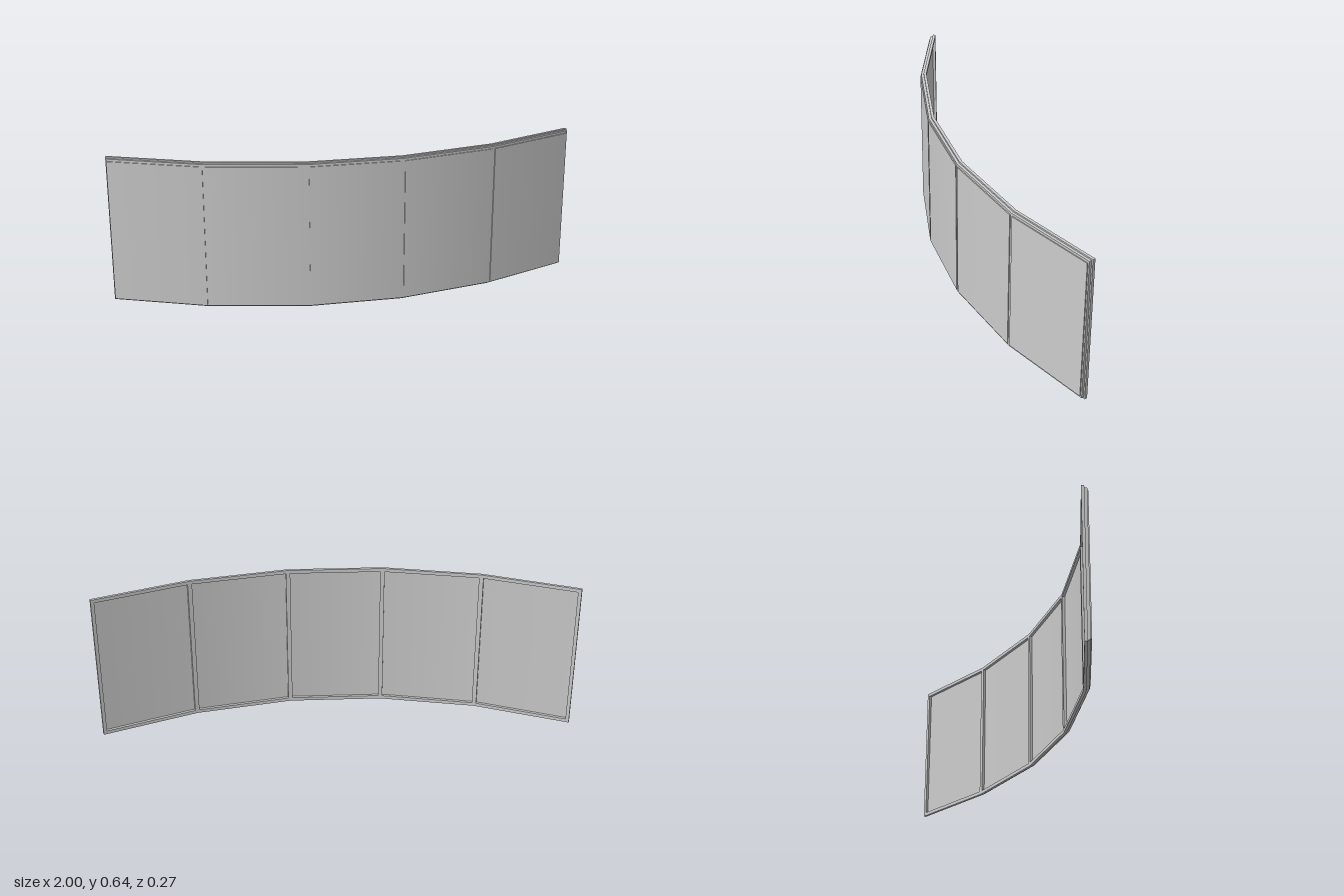
import * as THREE from 'three';

const H = 0.638;
// plan of the screen: x, z of the five-sided bend
const half = [[0.2, 0.12], [0.61, 0.036], [1, -0.122]];
const pts = [...half.map(([x, z]) => [-x, z]).reverse(), ...half].map(([x, z]) => new THREE.Vector2(x, z));

// outward normal of each side and mitre vector at each joint
const sides = pts.slice(1).map((p, i) => {
  const d = p.clone().sub(pts[i]).normalize();
  return new THREE.Vector2(-d.y, d.x);
});
const mitres = pts.map((p, i) => {
  const a = sides[Math.max(i - 1, 0)], b = sides[Math.min(i, sides.length - 1)];
  return a.clone().add(b).divideScalar(1 + a.dot(b));
});

const material = new THREE.MeshStandardMaterial({ color: 0xcccccc });

// slab on side i, from t0 to t1 along it, o0 to o1 in depth, y0 to y1 in height
function slab(name, i, [t0, t1], [o0, o1], [y0, y1]) {
  const geo = new THREE.BoxGeometry(1, 1, 1);
  const pos = geo.attributes.position;
  const mitreNormals = [];
  for (let k = 0; k < pos.count; k++) {
    const t = THREE.MathUtils.lerp(t0, t1, pos.getX(k) + 0.5);
    const o = THREE.MathUtils.lerp(o0, o1, pos.getZ(k) + 0.5);
    const y = THREE.MathUtils.lerp(y0, y1, pos.getY(k) + 0.5);
    const m = mitres[i].clone().lerp(mitres[i + 1], t);
    const p = pts[i].clone().lerp(pts[i + 1], t).addScaledVector(m, o);
    pos.setXYZ(k, p.x, y, p.y);
    mitreNormals.push(m.normalize());
  }
  geo.computeVertexNormals();
  // broad front and back faces shade smoothly round the bend
  for (let k = 16; k < 24; k++) {
    const s = k < 20 ? 1 : -1;
    geo.attributes.normal.setXYZ(k, s * mitreNormals[k].x, 0, s * mitreNormals[k].y);
  }
  const mesh = new THREE.Mesh(geo, material);
  mesh.name = name;
  return mesh;
}

export function createModel() {
  const model = new THREE.Group();
  model.name = 'curvedScreen';
  const last = sides.length - 1;
  const rail = 0.015, back = [-0.012, 0];

  for (let i = 0; i <= last; i++) {
    const section = new THREE.Group();
    section.name = 'section' + (i + 1);
    const a = i === 0 ? 0.015 : 0, b = i === last ? 0.985 : 1;
    const wa = i === 0 ? 0.035 : 0.022, wb = i === last ? 0.035 : 0.022;
    section.add(
      // rear frame
      slab('bottomRail', i, [0, 1], back, [0, rail]),
      slab('topRail', i, [0, 1], back, [H - rail, H]),
      slab('rightStile', i, [0, wa], back, [rail, H - rail]),
      slab('leftStile', i, [1 - wb, 1], back, [rail, H - rail]),
      // backing sheet and raised front panel
      slab('backingSheet', i, [a, b], [0, 0.011], [0.007, H - 0.006]),
      slab('frontPanel', i, [a + 0.015, b - 0.015], [0.011, 0.015], [rail, H - 0.016]),
    );
    // thin lips that carry the full height to the front of the frame
    model.add(section);
  }
  return model;
}
